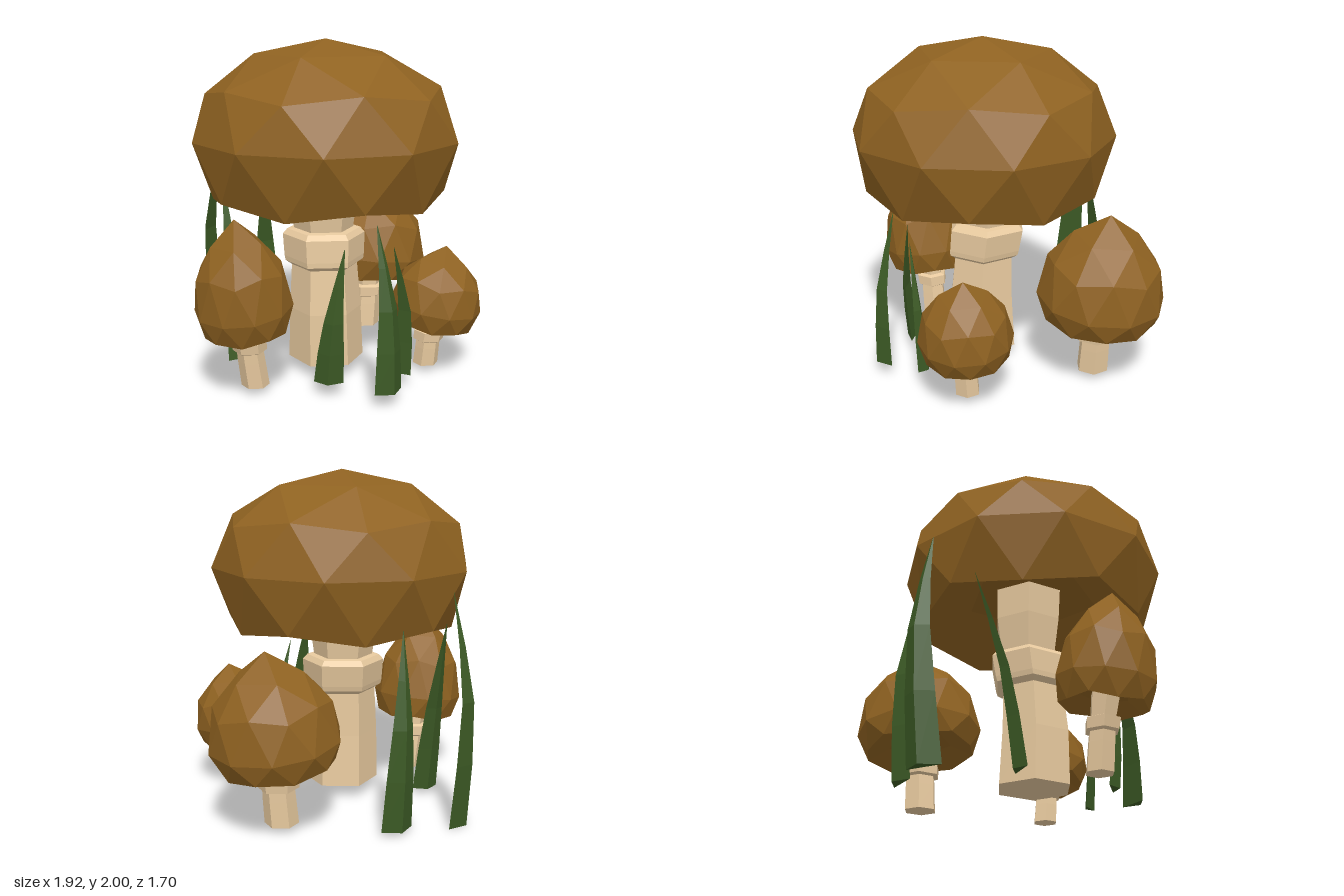
import * as THREE from 'three';

const V = (x, y, z) => new THREE.Vector3(x, y, z);

// Closed flat-shaded skin over rings of points (bottom to top, counter-clockwise from above)
function loft(rings) {
  const pos = [];
  const tri = (a, b, c) => pos.push(a.x, a.y, a.z, b.x, b.y, b.z, c.x, c.y, c.z);
  const n = rings[0].length, last = rings[rings.length - 1];
  for (let i = 0; i < rings.length - 1; i++) {
    for (let j = 0; j < n; j++) {
      const k = (j + 1) % n, lo = rings[i], hi = rings[i + 1];
      tri(lo[j], lo[k], hi[k]);
      tri(lo[j], hi[k], hi[j]);
    }
  }
  for (let j = 1; j < n - 1; j++) {
    tri(rings[0][0], rings[0][j + 1], rings[0][j]);
    tri(last[0], last[j], last[j + 1]);
  }
  const g = new THREE.BufferGeometry();
  g.setAttribute('position', new THREE.Float32BufferAttribute(pos, 3));
  g.computeVertexNormals();
  return g;
}

// Faceted dome: a subdivided icosahedron standing on a vertex, hollowed underneath.
// peak lifts the apex, drop scales the rim's depth, hollow is the height of the underside
function capGeometry(radius, height, peak, drop, hollow) {
  const g = new THREE.IcosahedronGeometry(1, 1);
  g.rotateZ(-Math.atan(2 / (1 + Math.sqrt(5))));
  const p = g.attributes.position;
  for (let i = 0; i < p.count; i++) {
    let y = p.getY(i);
    if (y > 0.95) y = peak;
    else if (y < -0.6) y = hollow;
    else if (y < -0.1) y *= drop;
    p.setXYZ(i, p.getX(i) * radius, y * height, p.getZ(i) * radius);
  }
  g.computeVertexNormals();
  return g;
}

// Six-sided stem following a gently bent path; profile is [y, radius]
function stemGeometry(profile, path) {
  const curve = new THREE.CatmullRomCurve3(path);
  const y0 = profile[0][0], y1 = profile[profile.length - 1][0];
  return loft(profile.map(([y, r]) => {
    const c = curve.getPoint((y - y0) / (y1 - y0));
    return Array.from({ length: 6 }, (_, j) => {
      const a = j * Math.PI / 3;
      return V(c.x + r * Math.sin(a), y, c.z + r * Math.cos(a));
    });
  }));
}

// Tapered blade with a ridge on one face, bending from base through mid to tip
function bladeGeometry(base, mid, tip, width, turn) {
  const curve = new THREE.CatmullRomCurve3([base, mid, tip]);
  const taper = [1, 0.88, 0.66, 0.34, 0.02];
  const up = V(0, 1, 0);
  return loft(taper.map((k, i) => {
    const c = curve.getPoint(i / (taper.length - 1)), w = width * k / 2;
    return [V(-w, 0, -w * 0.2), V(0, 0, w * 0.4), V(w, 0, -w * 0.2)]
      .map(q => q.applyAxisAngle(up, turn).add(c));
  }));
}

export function createModel() {
  const capMat = new THREE.MeshStandardMaterial({ color: 0x8f6221 });
  capMat.name = 'cap brown';
  const stemMat = new THREE.MeshStandardMaterial({ color: 0xe8ca9f });
  stemMat.name = 'stem tan';
  const grassMat = new THREE.MeshStandardMaterial({ color: 0x3c5a25 });
  grassMat.name = 'grass green';

  const root = new THREE.Group();
  root.name = 'mushroomCluster';
  const add = (parent, name, geo, mat) => {
    const m = new THREE.Mesh(geo, mat);
    m.name = name;
    parent.add(m);
    return m;
  };

  // Large mushroom with a flared collar
  const large = new THREE.Group();
  large.name = 'largeMushroom';
  root.add(large);
  add(large, 'largeCap', capGeometry(0.785, 0.57, 1, 1.235, -0.25), capMat).position.set(-0.065, 1.43, 0.07);
  add(large, 'largeStem', stemGeometry(
    [[0.085, 0.226], [0.4, 0.215], [0.665, 0.197], [0.69, 0.235], [0.72, 0.24], [0.85, 0.247], [0.88, 0.22],
      [0.885, 0.178], [1.1, 0.21], [1.36, 0.22]],
    [V(-0.065, 0, 0.076), V(-0.075, 0, 0.08), V(-0.06, 0, 0.042), V(-0.07, 0, 0.045)]), stemMat);

  // Three small mushrooms with peaked, leaning caps
  const smalls = [
    { name: 'leftSmall', c: [0.588, 0.54, -0.345], r: 0.378, h: 0.45, drop: 0.6, tilt: [0, 0.14, -0.12],
      foot: [0.55, -0.335], mid: [0.57, -0.335], sr: 0.103, ring: [0.26, 0.33] },
    { name: 'rightSmall', c: [-0.683, 0.53, 0.15], r: 0.28, h: 0.455, drop: 0.6, tilt: [0, 0.3, 0.13],
      foot: [-0.61, 0.14], mid: [-0.645, 0.14], sr: 0.085, ring: [0.265, 0.335] },
    { name: 'frontSmall', c: [0.456, 0.42, 0.485], r: 0.273, h: 0.32, drop: 0.72, tilt: [0.13, 0.2, -0.12],
      foot: [0.412, 0.453], mid: [0.42, 0.47], sr: 0.08, ring: [0.205, 0.27] },
  ];
  for (const s of smalls) {
    const g = new THREE.Group();
    g.name = s.name + 'Mushroom';
    root.add(g);
    const cap = add(g, s.name + 'Cap', capGeometry(s.r, s.h, 1.15, s.drop, -0.15), capMat);
    cap.position.set(...s.c);
    cap.rotation.set(...s.tilt);
    const [a, b] = s.ring, r = s.sr;
    add(g, s.name + 'Stem', stemGeometry(
      [[0.045, r * 0.95], [a * 0.75, r * 0.92], [a - 0.01, r * 0.9], [a, r * 1.15], [b - 0.01, r * 1.2],
        [b, r * 0.88], [s.c[1] - 0.03, r * 1.05]],
      [V(s.foot[0], 0, s.foot[1]), V(s.mid[0], 0, s.mid[1]), V(s.c[0], 0, s.c[2])]), stemMat);
  }

  // Grass blades: base, mid, tip, width, turn
  const blades = [
    [V(-0.475, 0.04, -0.27), V(-0.47, 0.58, -0.36), V(-0.43, 1.13, -0.52), 0.16, Math.PI - 0.15],
    [V(-0.375, 0.005, -0.765), V(-0.375, 0.75, -0.825), V(-0.32, 1.35, -0.73), 0.21, Math.PI + 0.55],
    [V(-0.315, 0.085, 0.45), V(-0.31, 0.45, 0.49), V(-0.24, 0.87, 0.5), 0.17, -0.75],
    [V(-0.11, 0.085, 0.755), V(-0.115, 0.56, 0.745), V(-0.125, 1.02, 0.64), 0.19, 0],
    [V(0.12, 0.085, 0.58), V(0.11, 0.48, 0.61), V(0.02, 0.87, 0.61), 0.115, Math.PI - 1.05],
    [V(0.01, 0.025, -0.715), V(0.0, 0.62, -0.745), V(-0.04, 1.15, -0.66), 0.2, Math.PI],
  ];
  blades.forEach((b, i) => add(root, 'grassBlade' + (i + 1), bladeGeometry(...b), grassMat));

  return root;
}
